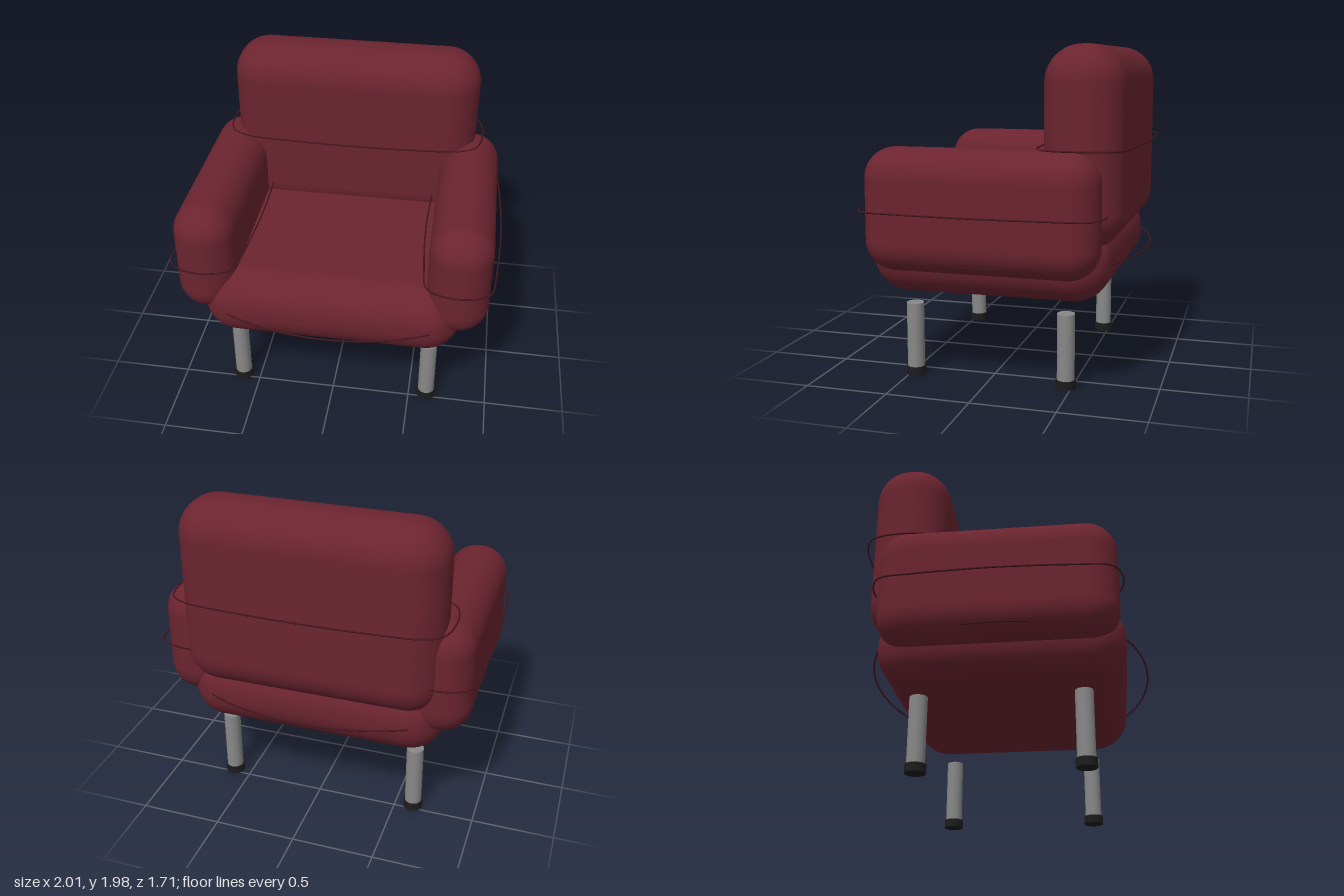
import * as THREE from 'three';
import { RoundedBoxGeometry } from 'three/addons/geometries/RoundedBoxGeometry.js';

const fabric = new THREE.MeshStandardMaterial({ name: 'burgundy fabric', color: 0x6b2430 });
const piping = new THREE.MeshStandardMaterial({ name: 'dark piping', color: 0x42151d });
const metal = new THREE.MeshStandardMaterial({ name: 'grey metal', color: 0x888888 });
const rubber = new THREE.MeshStandardMaterial({ name: 'black rubber', color: 0x1c1c1c });

function add(parent, name, geometry, material, x = 0, y = 0, z = 0) {
  const mesh = new THREE.Mesh(geometry, material);
  mesh.name = name;
  mesh.position.set(x, y, z);
  parent.add(mesh);
  return mesh;
}

// Closed horizontal loop; the quarter runs from [0, z] to [x, 0] and is mirrored four ways.
function pipingLoop(quarter) {
  const q = quarter;
  const back = q.slice(1, -1).reverse();
  const loop = [
    ...q,
    ...back.map(([x, z]) => [x, -z]),
    ...q.slice(0, 1).map(([x, z]) => [x, -z]),
    ...q.slice(1).map(([x, z]) => [-x, -z]),
    ...back.map(([x, z]) => [-x, z]),
  ];
  const curve = new THREE.CatmullRomCurve3(loop.map(([x, z]) => new THREE.Vector3(x, 0, z)), true);
  return new THREE.TubeGeometry(curve, 160, 0.005, 8, true);
}

// A plump cushion with its seam piping
function cushion(name, size, radius, position, quarter) {
  const group = new THREE.Group();
  group.name = name;
  group.position.set(...position);
  add(group, name + 'Cushion', new RoundedBoxGeometry(...size, 8, radius), fabric);
  add(group, name + 'Piping', pipingLoop(quarter), piping);
  return group;
}

export function createModel() {
  const model = new THREE.Group();
  model.name = 'armchair';

  model.add(cushion('seat', [1.59, 0.455, 1.44], 0.215, [0, 0.745, 0],
    [[0, 0.85], [0.35, 0.81], [0.63, 0.705], [0.72, 0.62], [0.86, 0.36], [0.92, 0]]));

  model.add(cushion('backrest', [1.58, 1.16, 0.46], 0.215, [0, 1.4, -0.555],
    [[0, 0.285], [0.5, 0.27], [0.68, 0.25], [0.785, 0.2], [0.82, 0.13], [0.835, 0]]));

  for (const side of [1, -1]) {
    const label = side > 0 ? 'left' : 'right';
    model.add(cushion(label + 'Arm', [0.375, 0.72, 1.38], 0.18, [side * 0.763, 1.04, 0],
      [[0, 0.718], [0.13, 0.69], [0.19, 0.64], [0.215, 0.45], [0.235, 0]]));

    // Tubular legs with rubber feet
    for (const [end, z] of [['Front', 0.468], ['Back', -0.465]]) {
      add(model, label + end + 'Leg', new THREE.CylinderGeometry(0.052, 0.052, 0.395, 32), metal, side * 0.613, 0.2475, z);
      add(model, label + end + 'Foot', new THREE.CylinderGeometry(0.06, 0.06, 0.05, 32), rubber, side * 0.613, 0.025, z);
    }
  }
  return model;
}
